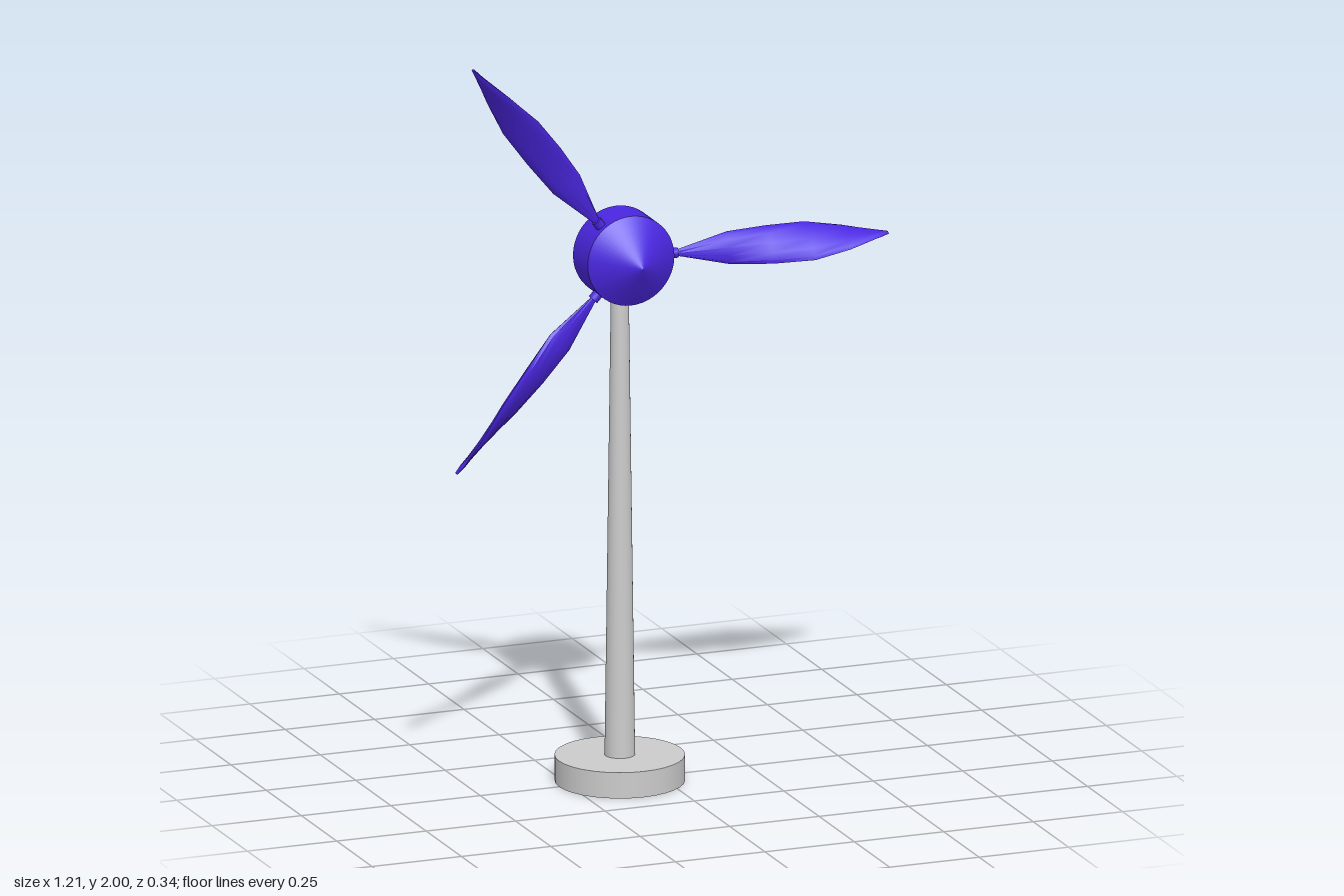
import * as THREE from 'three';
import { toCreasedNormals } from 'three/addons/utils/BufferGeometryUtils.js';

const grey = new THREE.MeshStandardMaterial({ color: 0xcccccc });
const violet = new THREE.MeshStandardMaterial({ color: 0x4a26e0 });

function add(parent, name, geometry, material) {
  const mesh = new THREE.Mesh(geometry, material);
  mesh.name = name;
  parent.add(mesh);
  return mesh;
}

// Twisted blade along +x, lofted through lens-shaped sections.
// Station: radius, half chord, half thickness, twist in degrees, z of centre
function bladeGeometry() {
  const stations = [
    [0.140, 0.009, 0.005, 0, 0.052],
    [0.280, 0.043, 0.014, 16, 0.060],
    [0.390, 0.053, 0.014, 34, 0.072],
    [0.500, 0.059, 0.012, 46, 0.078],
    [0.600, 0.044, 0.009, 58, 0.081],
    [0.690, 0.019, 0.005, 76, 0.081],
    [0.717, 0.008, 0.003, 82, 0.081],
  ];
  const sides = 12;
  const positions = [];
  const index = [];
  for (const [r, chord, thick, deg, z] of stations) {
    const t = THREE.MathUtils.degToRad(deg);
    for (let j = 0; j < sides; j++) {
      const a = (j / sides) * Math.PI * 2;
      const c = chord * Math.cos(a);
      const s = thick * Math.sin(a);
      positions.push(r, c * Math.cos(t) + s * Math.sin(t), z - c * Math.sin(t) + s * Math.cos(t));
    }
  }
  const last = (stations.length - 1) * sides;
  for (let i = 0; i < last; i += sides) {
    for (let j = 0; j < sides; j++) {
      const k = (j + 1) % sides;
      index.push(i + j, i + k, i + sides + j, i + k, i + sides + k, i + sides + j);
    }
  }
  // End caps
  for (let j = 1; j < sides - 1; j++) {
    index.push(0, j + 1, j, last, last + j, last + j + 1);
  }
  const geometry = new THREE.BufferGeometry();
  geometry.setAttribute('position', new THREE.Float32BufferAttribute(positions, 3));
  geometry.setIndex(index);
  return toCreasedNormals(geometry, 0.8);
}

export function createModel() {
  const model = new THREE.Group();
  model.name = 'windTurbine';
  const axisX = -0.11;

  // Round foot and tapered tower
  add(model, 'base', new THREE.CylinderGeometry(0.17, 0.17, 0.07, 32), grey)
    .position.set(axisX, 0.035, 0);
  add(model, 'tower', new THREE.CylinderGeometry(0.023, 0.04, 1.3, 24), grey)
    .position.set(axisX, 0.72, 0);

  const rotor = new THREE.Group();
  rotor.name = 'rotor';
  rotor.position.set(axisX, 1.43, 0);
  model.add(rotor);

  // Hub drum with a cone at each end
  const profile = [[0, -0.108], [0.121, -0.025], [0.121, 0.08], [0, 0.166]]
    .map(([r, z]) => new THREE.Vector2(r, z));
  const hub = toCreasedNormals(new THREE.LatheGeometry(profile, 48), 0.6);
  add(rotor, 'hub', hub.rotateX(Math.PI / 2), violet);

  // Three blades, each on a short peg
  const blade = bladeGeometry();
  const peg = new THREE.CylinderGeometry(0.014, 0.014, 0.05, 12)
    .rotateZ(-Math.PI / 2).translate(0.115, 0, 0.052);
  for (const deg of [0, 128, 227]) {
    const arm = new THREE.Group();
    arm.name = 'bladeArm';
    arm.rotation.z = THREE.MathUtils.degToRad(deg);
    add(arm, 'bladePeg', peg, violet);
    add(arm, 'blade', blade, violet);
    rotor.add(arm);
  }
  return model;
}
